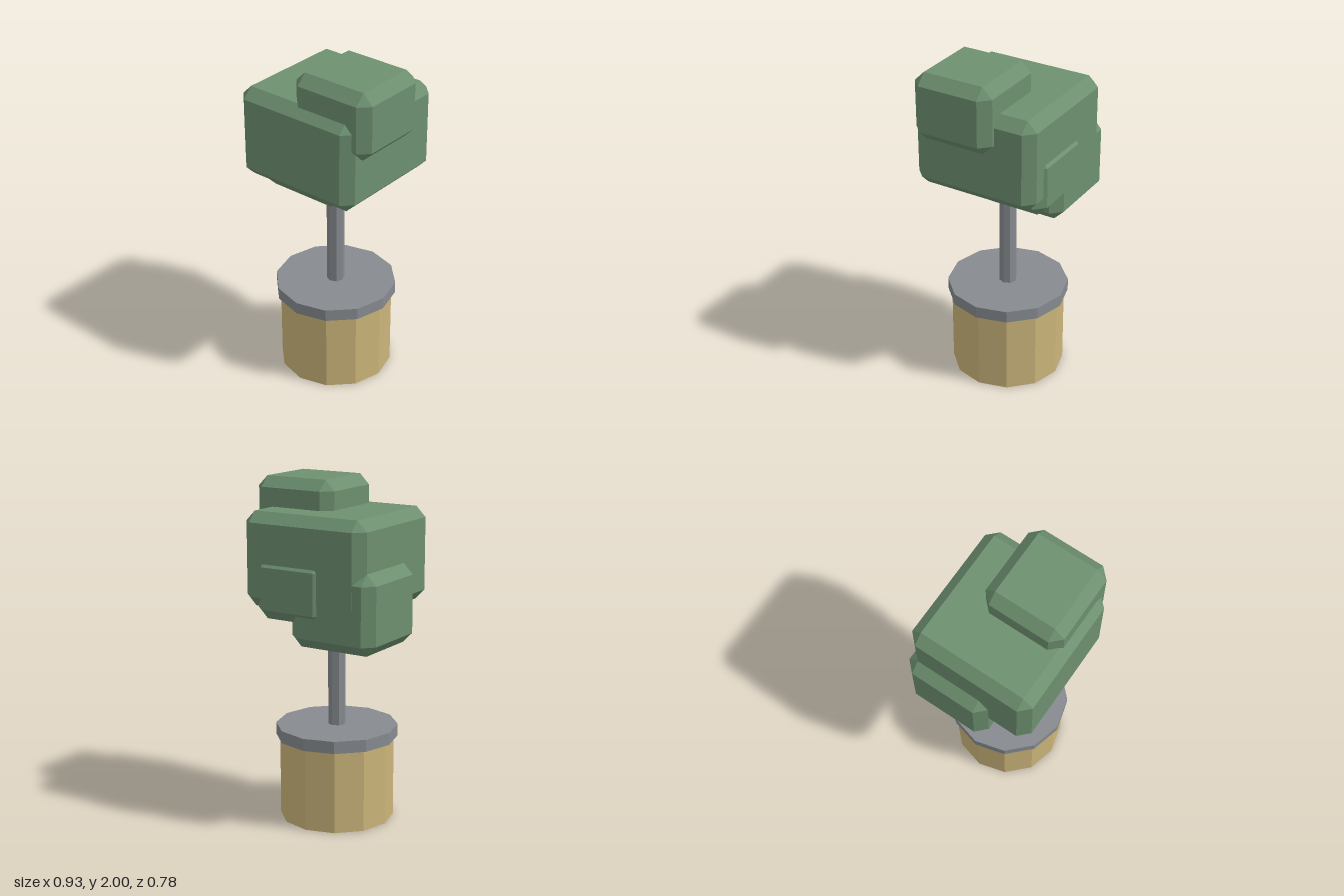
import * as THREE from 'three';
import { ConvexGeometry } from 'three/addons/geometries/ConvexGeometry.js';

const material = (name, color) => {
  const m = new THREE.MeshStandardMaterial({ color });
  m.name = name;
  return m;
};

// Box with 45 degree cut edges and triangular corners, given by its limits
function chamferedBox(min, max, cut) {
  const points = [];
  const half = max.map((v, i) => (v - min[i]) / 2);
  for (const sx of [-1, 1]) for (const sy of [-1, 1]) for (const sz of [-1, 1]) {
    for (let axis = 0; axis < 3; axis++) {
      const p = half.map((h, i) => (i === axis ? h : h - cut));
      points.push(new THREE.Vector3(sx * p[0], sy * p[1], sz * p[2]));
    }
  }
  const geometry = new ConvexGeometry(points);
  geometry.translate(...max.map((v, i) => (v + min[i]) / 2));
  return geometry;
}

export function createModel() {
  const group = new THREE.Group();
  const green = material('leaf green', 0x6d9070);
  const tan = material('pot tan', 0xcbb57a);
  const grey = material('stone grey', 0x878b90);
  for (const m of [green, tan, grey]) m.flatShading = true;

  const add = (name, geometry, mat) => {
    const mesh = new THREE.Mesh(geometry, mat);
    mesh.name = name;
    group.add(mesh);
  };
  const column = (name, radius, bottom, top, sides, mat) => {
    const geometry = new THREE.CylinderGeometry(radius, radius, top - bottom, sides);
    geometry.translate(-0.009, (top + bottom) / 2, 0.009);
    add(name, geometry, mat);
  };

  // Pot, rim and trunk
  column('pot', 0.335, 0, 0.49, 12, tan);
  column('potRim', 0.358, 0.488, 0.56, 12, grey);
  column('trunk', 0.052, 0.55, 1.35, 8, grey);

  // Overlapping foliage blocks
  const blocks = [
    ['mainFoliage', [-0.405, 1.29, -0.375], [0.388, 1.832, 0.387]],
    ['topFoliage', [-0.054, 1.608, -0.146], [0.462, 2, 0.341]],
    ['lowerFoliage', [-0.465, 1.09, -0.374], [0.08, 1.545, 0.144]],
    ['backFoliage', [-0.165, 1.228, -0.39], [0.298, 1.59, 0.03]],
  ];
  for (const [name, min, max] of blocks) add(name, chamferedBox(min, max, 0.06), green);

  return group;
}
